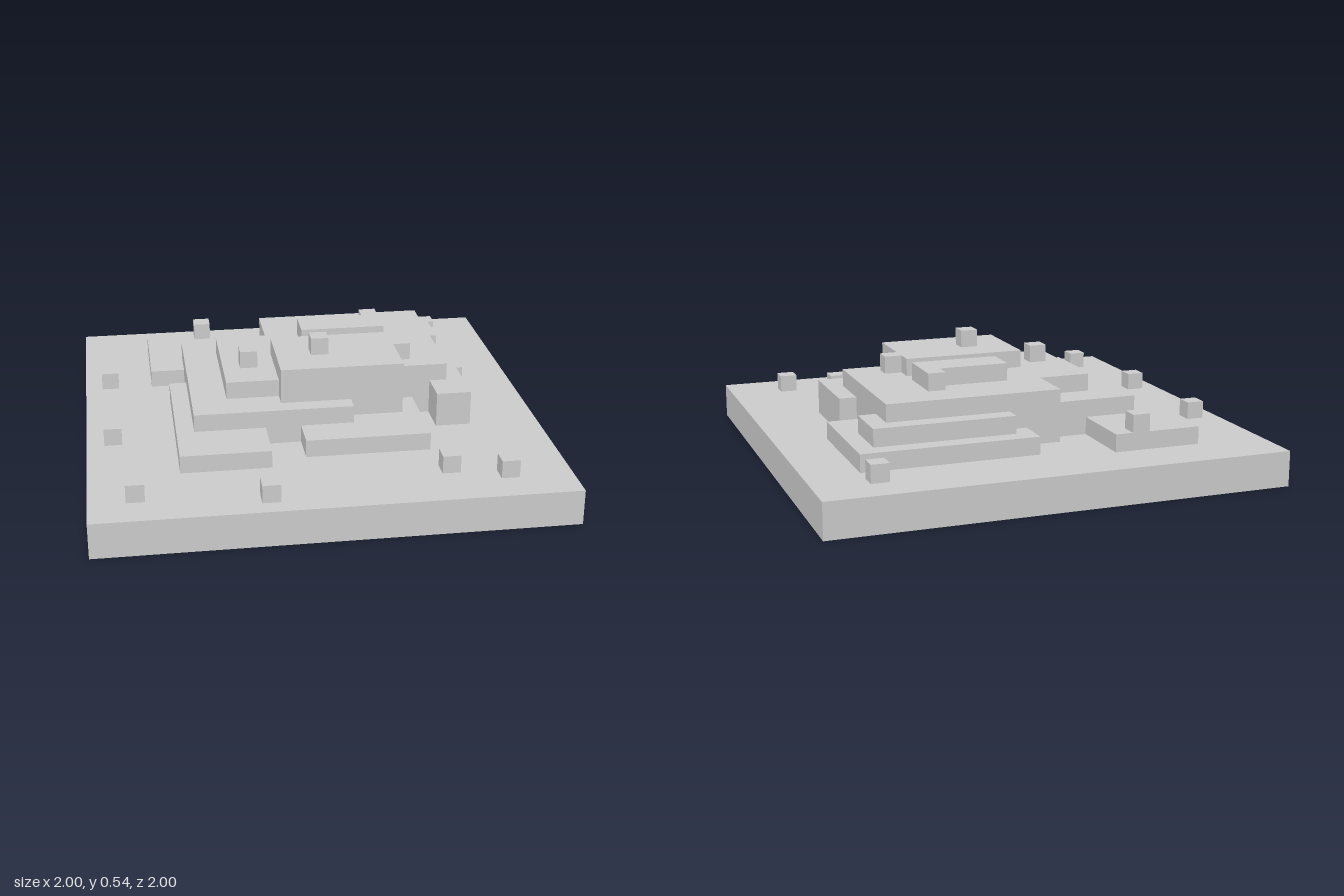
import * as THREE from 'three';

const U = 2 / 26; // one block; the ground is 26 blocks wide
const GROUND = 2; // ground thickness in blocks

export function createModel() {
  const model = new THREE.Group();
  model.name = 'blockTerrain';
  const material = new THREE.MeshStandardMaterial({ color: 0xcccccc, flatShading: true });

  // Box spanning whole-block coordinates
  const block = (name, x0, x1, z0, z1, y0, y1) => {
    const geometry = new THREE.BoxGeometry((x1 - x0) * U, (y1 - y0) * U, (z1 - z0) * U);
    const mesh = new THREE.Mesh(geometry, material);
    mesh.name = name;
    mesh.position.set((x0 + x1) * U / 2, (y0 + y1) * U / 2, (z0 + z1) * U / 2);
    model.add(mesh);
  };

  block('ground', -13, 13, -13, 13, 0, GROUND);

  // Hill terraces: name, x range, z range, top level
  const terraces = [
    ['backRightTerrace', -9, -4, -10, -4, 3],
    ['backLeftTerrace', 0, 10, -9, -2, 3],
    ['frontRightTerrace', -8, -3, -2, 8, 3],
    ['frontTerrace', -1, 6, 2, 7, 3],
    ['backLeftStep', 1, 9, -8, -5, 4],
    ['rightPlateau', -7, 2, -6, 5, 4],
    ['leftOutcrop', 7, 9, -1, 4, 4],
    ['mainPlateau', -2, 8, -7, 2, 5],
    ['rightStep', -5, -2, -4, 3, 5],
    ['summit', -2, 5, -1, 4, 6],
  ];
  for (const [name, x0, x1, z0, z1, top] of terraces) block(name, x0, x1, z0, z1, GROUND, top);

  // L-shaped ridge on the main plateau
  block('ridge', 0, 4, -4, -2, 5, 6);
  block('ridgeEnd', 4, 5, -5, -2, 5, 6);

  // Single loose blocks: x, z, level they rest on
  const boulders = [
    [-6, -10, 3], [5, 0, 5], [-4, 0, 5], [0, 1, 6],
    [9, -11, 2], [-12, -5, 2], [-12, 3, 2], [-11, 10, 2],
    [-4, 11, 2], [6, 9, 2], [9, 10, 2],
  ];
  for (const [x, z, y] of boulders) block('boulder', x, x + 1, z, z + 1, y, y + 1);

  return model;
}
